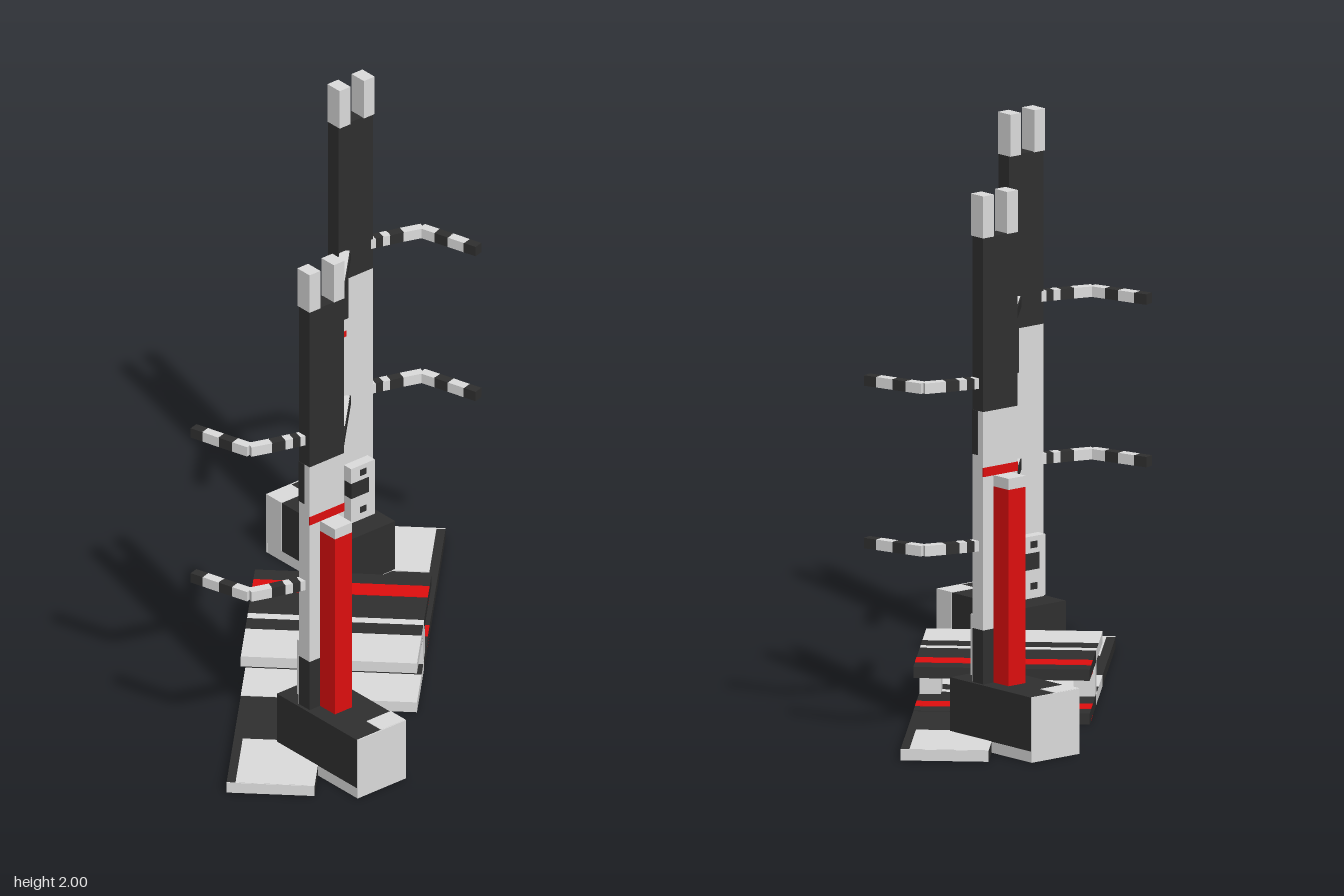
import * as THREE from 'three';

export function createModel() {
  const mat = (name, color) => {
    const m = new THREE.MeshStandardMaterial({ color });
    m.name = name;
    return m;
  };
  const light = mat('lightGrey', 0xdcdcdc);
  const dark = mat('charcoal', 0x2f2f2f);
  const red = mat('red', 0xdf0e0e);

  // Box given by its min and max on each axis
  const box = (parent, name, material, [x0, x1], [y0, y1], [z0, z1]) => {
    const mesh = new THREE.Mesh(new THREE.BoxGeometry(x1 - x0, y1 - y0, z1 - z0), material);
    mesh.position.set((x0 + x1) / 2, (y0 + y1) / 2, (z0 + z1) / 2);
    mesh.name = name;
    parent.add(mesh);
    return mesh;
  };
  const group = (parent, name) => {
    const g = new THREE.Group();
    g.name = name;
    parent.add(g);
    return g;
  };

  // Bar between two points in plan, at height y
  const bar = (parent, name, material, a, b, y) => {
    const dx = b[0] - a[0], dz = b[1] - a[1];
    const mesh = new THREE.Mesh(new THREE.BoxGeometry(0.036, 0.038, Math.hypot(dx, dz) + 0.002), material);
    mesh.position.set((a[0] + b[0]) / 2, y, (a[1] + b[1]) / 2);
    mesh.rotation.y = Math.atan2(dx, dz);
    mesh.name = name;
    parent.add(mesh);
  };

  const model = new THREE.Group();
  model.name = 'twinPostRack';

  // Central double deck with painted stripes
  const deck = group(model, 'deck');
  const S = 0.312;
  const stripes = [
    [red, -0.24, -0.16], [dark, 0.04, 0.112],
  ];
  for (const [name, y0, y1] of [['lowerDeck', 0, 0.04], ['upperDeck', 0.158, 0.198]]) {
    box(deck, name + 'Front', light, [-S, S], [y0, y1], [0, S]);
    box(deck, name + 'Back', dark, [-S, S], [y0, y1], [-S, 0]);
    for (const [m, z0, z1] of stripes) {
      box(deck, name + 'StripeTop', m, [-S, S], [y1 - 0.001, y1 + 0.002], [z0, z1]);
      box(deck, name + 'StripeUnder', m, [-S, S], [y0 - 0.002, y0 + 0.001], [z0, z1]);
    }
  }
  for (const s of [-1, 1]) {
    box(deck, 'deckSupport', light, [s * 0.273 - 0.038, s * 0.273 + 0.038], [0.04, 0.158], [-0.04, 0.04]);
  }

  // One end: floor plate, turned foot, post, pillar and arms
  const buildEnd = (name) => {
    const end = group(model, name);

    box(end, 'floorPlate', dark, [-S, 0], [0, 0.038], [S, 0.935]);
    box(end, 'floorPlatePaint', light, [-0.28, 0], [0.037, 0.041], [0.62, 0.935]);
    box(end, 'floorPlateEnd', light, [-S, 0], [0, 0.04], [0.934, 0.938]);

    // Everything here is turned 45 degrees
    const turned = group(end, 'turnedPost');
    turned.position.set(0, 0, 0.66);
    turned.rotation.y = Math.PI / 4;

    box(turned, 'footBase', light, [-0.092, 0.13], [0, 0.04], [-0.132, 0.305]);
    box(turned, 'foot', dark, [-0.092, 0.13], [0.04, 0.235], [-0.132, 0.305]);
    box(turned, 'footCorner', light, [0.02, 0.132], [0.04, 0.237], [0.225, 0.306]);
    box(turned, 'footEnd', light, [-0.092, 0.131], [0, 0.236], [0.304, 0.309]);

    // Column in coloured lengths
    const lengths = [
      [dark, 0.235, 0.43], [light, 0.43, 0.985], [light, 0.985, 1.22], [dark, 1.22, 1.85],
    ];
    for (const [m, y0, y1] of lengths) {
      box(turned, 'column', m, [-0.08, 0.08], [y0, y1], [-0.025, 0.033]);
    }
    box(turned, 'columnBand', red, [-0.081, 0.08], [0.985, 1.018], [0.03, 0.035]);
    box(turned, 'columnBackPaint', light, [-0.08, 0.08], [0.235, 0.43], [-0.027, -0.024]);
    box(turned, 'columnBackDark', dark, [0.035, 0.082], [1.06, 1.22], [-0.027, 0.01]);
    box(turned, 'columnSideDark', dark, [-0.082, -0.079], [1.06, 1.22], [-0.025, 0.005]);
    box(turned, 'columnBackMark', red, [0.045, 0.08], [0.99, 1.012], [-0.028, -0.024]);

    // Fork at the top
    for (const s of [-1, 1]) {
      box(turned, 'forkProng', light, [s * 0.056 - 0.025, s * 0.056 + 0.025], [1.848, 2], [-0.033, 0.034]);
    }

    // Padded pillar against the outer face
    box(turned, 'pillar', red, [-0.032, 0.048], [0.235, 0.945], [0.033, 0.114]);
    box(turned, 'pillarCap', light, [-0.032, 0.048], [0.945, 0.985], [0.033, 0.114]);

    // Control box on the inner face
    box(turned, 'controlBox', light, [-0.055, 0.055], [0.25, 0.47], [-0.065, -0.025]);
    box(turned, 'controlPanel', dark, [-0.025, 0.056], [0.35, 0.41], [-0.067, -0.03]);
    for (const y of [0.29, 0.44]) {
      box(turned, 'controlButton', dark, [-0.015, 0.015], [y - 0.012, y + 0.012], [-0.067, -0.06]);
    }

    // Two levels of arms
    for (const y of [0.731, 1.319]) {
      const y0 = y - 0.019, y1 = y + 0.019;
      box(end, 'straightArm', light, [0, 0.036], [y0, y1], [0.39, 0.61]);
      box(end, 'straightArmTip', dark, [0, 0.036], [y0, y1], [0.315, 0.39]);
      box(end, 'straightArmSide', dark, [-0.003, 0.001], [y0, y1], [0.315, 0.61]);
      box(end, 'straightArmUnder', dark, [0, 0.036], [y0 - 0.002, y0 + 0.001], [0.315, 0.61]);

      const path = [
        [[-0.045, 0.7], light], [[-0.075, 0.718], dark], [[-0.1, 0.732], light],
        [[-0.125, 0.745], dark], [[-0.17, 0.77], light], [[-0.24, 0.805], light],
        [[-0.295, 0.774], dark], [[-0.345, 0.746], light], [[-0.405, 0.711], dark],
        [[-0.448, 0.687], null],
      ];
      for (let i = 0; i < path.length - 1; i++) {
        bar(end, 'bentArm', path[i][1], path[i][0], path[i + 1][0], y);
      }
    }
    return end;
  };

  buildEnd('frontEnd');
  buildEnd('backEnd').rotation.y = Math.PI;

  return model;
}
